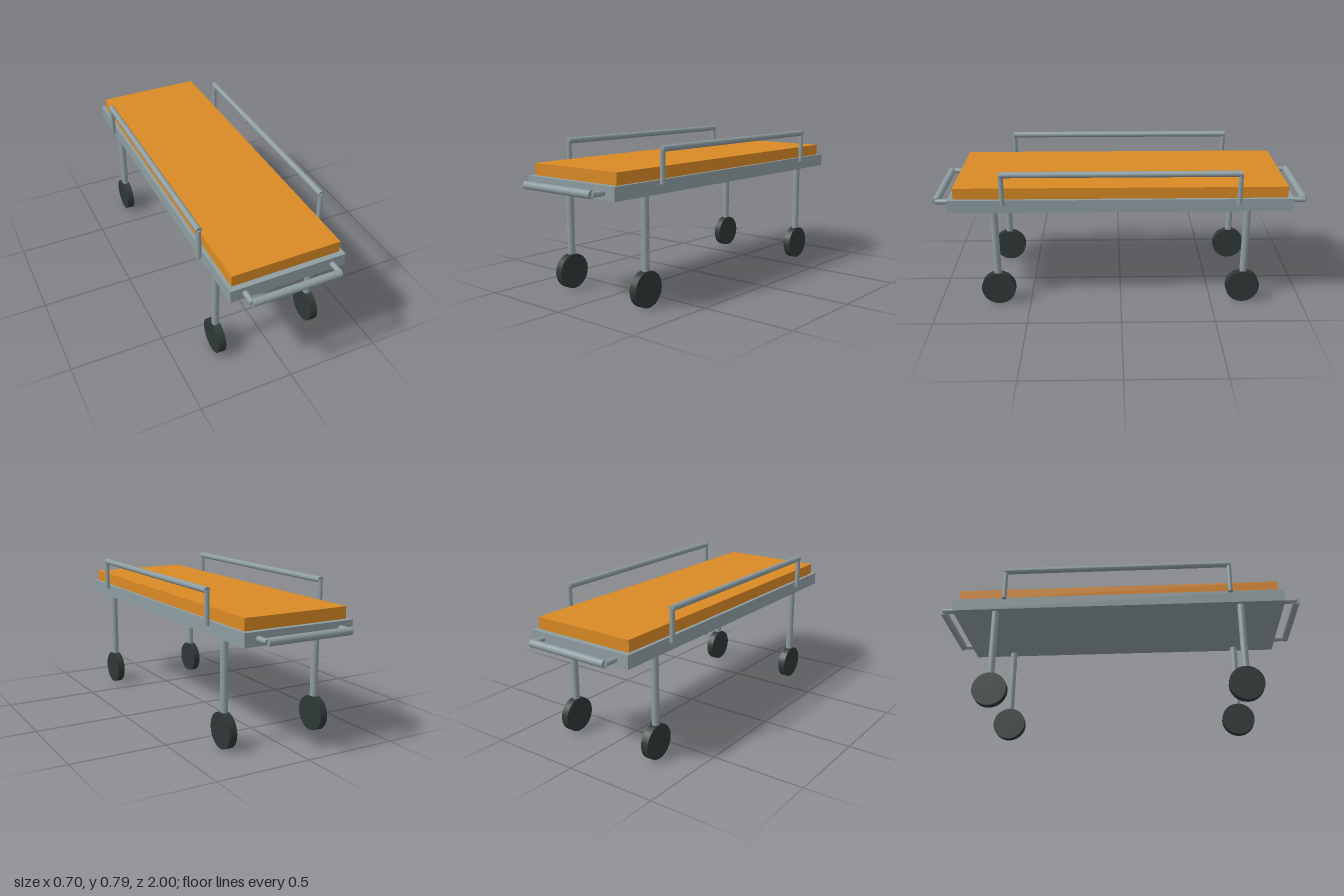
import * as THREE from 'three';

export function createModel() {
  const model = new THREE.Group();
  model.name = 'wheeledStretcher';

  const paint = (name, color) => {
    const m = new THREE.MeshStandardMaterial({ color });
    m.name = name;
    return m;
  };
  const metal = paint('greyMetal', 0x8e9da1);
  const orange = paint('orangeCushion', 0xd98924);
  const rubber = paint('darkRubber', 0x2e3836);

  const add = (name, geometry, material, x, y, z) => {
    const mesh = new THREE.Mesh(geometry, material);
    mesh.name = name;
    mesh.position.set(x, y, z);
    model.add(mesh);
    return mesh;
  };
  // Cylinder along a chosen axis
  const rod = (radius, length, axis, sides = 16) => {
    const g = new THREE.CylinderGeometry(radius, radius, length, sides);
    if (axis === 'x') g.rotateZ(Math.PI / 2);
    if (axis === 'z') g.rotateX(Math.PI / 2);
    return g;
  };

  // Bed
  add('frame', new THREE.BoxGeometry(0.614, 0.069, 1.814), metal, 0, 0.5895, 0);
  add('mattress', new THREE.BoxGeometry(0.578, 0.061, 1.754), orange, 0, 0.6545, 0);

  for (const sx of [-1, 1]) {
    const side = sx > 0 ? 'left' : 'right';

    // Side rail with two posts
    add(side + 'Rail', rod(0.016, 1.24, 'z'), metal, sx * 0.333, 0.776, 0);
    for (const sz of [-1, 1]) {
      const corner = side + (sz > 0 ? 'Front' : 'Back');
      add(corner + 'RailPost', rod(0.013, 0.169, 'y'), metal, sx * 0.333, 0.6915, sz * 0.615);

      // Leg and wheel
      add(corner + 'Leg', rod(0.0195, 0.39, 'y'), metal, sx * 0.27, 0.375, sz * 0.672);
      add(corner + 'Wheel', rod(0.0925, 0.041, 'x', 24), rubber, sx * 0.27, 0.0925, sz * 0.672);

      // Stub carrying the end handle
      add(corner + 'HandleStub', rod(0.014, 0.08, 'z'), metal, sx * 0.233, 0.59, sz * 0.94);
    }
  }

  // Push handles at both ends
  for (const sz of [-1, 1]) {
    add(sz > 0 ? 'frontHandle' : 'backHandle', rod(0.02, 0.468, 'x'), metal, 0, 0.59, sz * 0.98);
  }

  return model;
}
